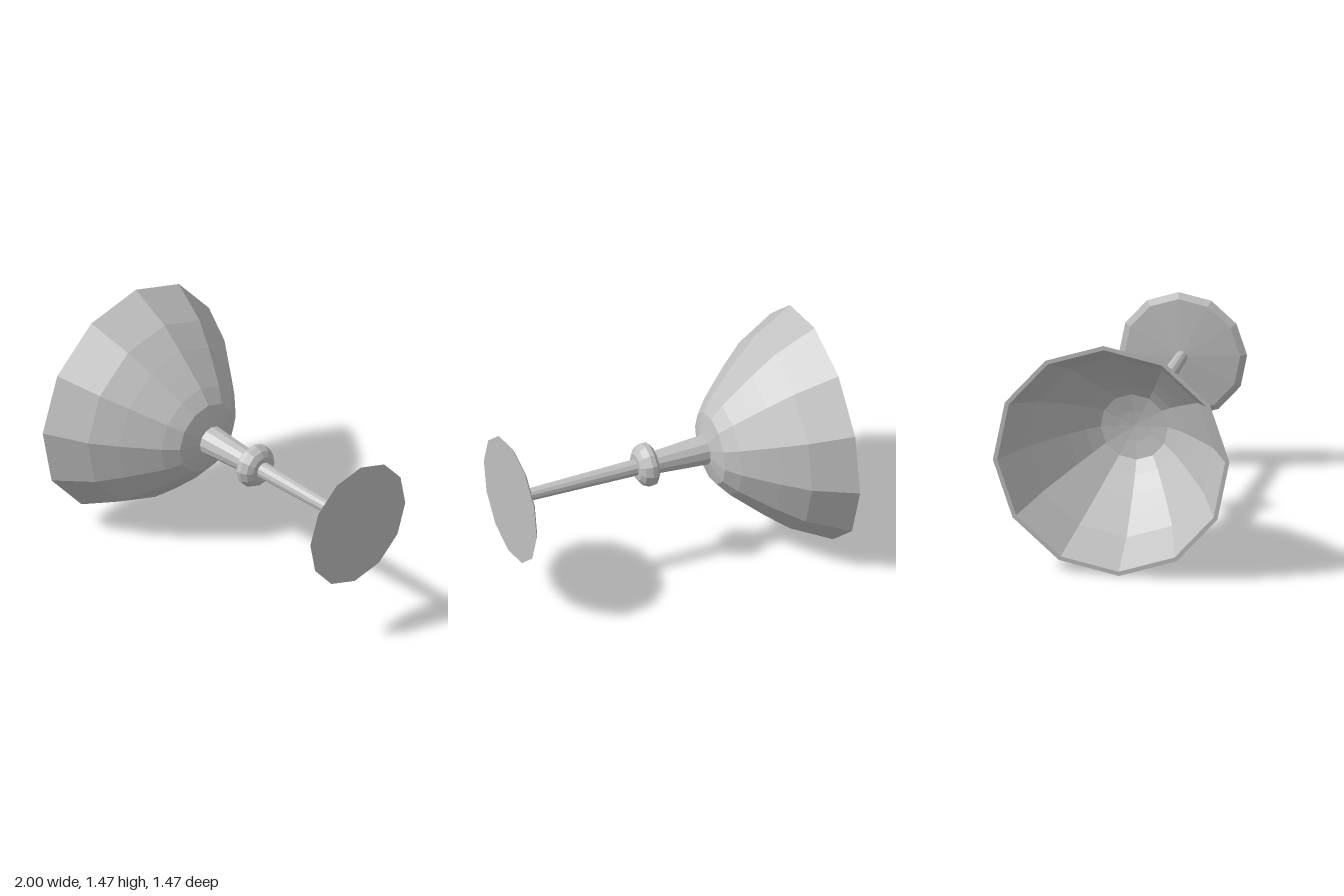
import * as THREE from 'three';

// A faceted goblet lying on its side, bowl towards -x, foot towards +x.
export function createModel() {
  const model = new THREE.Group();
  const SIDES = 12, PHASE = -0.065, AXIS_HEIGHT = 0.737;
  const silver = new THREE.MeshStandardMaterial({ color: 0xc0c0c0, flatShading: true });
  silver.name = 'silver grey';

  // Each profile is a list of [position along the axis, radius].
  function turned(name, profile) {
    const points = profile.map(([along, radius]) => new THREE.Vector2(radius, along));
    const geometry = new THREE.LatheGeometry(points, SIDES, PHASE);
    geometry.rotateZ(-Math.PI / 2);
    const mesh = new THREE.Mesh(geometry, silver);
    mesh.name = name;
    mesh.position.y = AXIS_HEIGHT;
    model.add(mesh);
  }

  // Hollow bowl: inside wall out to the rim, then back along the outside
  turned('bowl', [
    [-0.33, 0], [-0.34, 0.1], [-0.36, 0.21], [-0.42, 0.29], [-0.51, 0.38],
    [-0.6, 0.46], [-0.74, 0.58], [-1, 0.712],
    [-1, 0.739], [-0.74, 0.607], [-0.593, 0.488], [-0.5, 0.405],
    [-0.4, 0.314], [-0.327, 0.228], [-0.29, 0.094],
  ]);

  // Tapered stem on both sides of the knop
  turned('upperStem', [[-0.29, 0.094], [0.05, 0.07]]);
  turned('knop', [
    [0.05, 0.07], [0.055, 0.115], [0.075, 0.136], [0.105, 0.137],
    [0.145, 0.118], [0.168, 0.085], [0.17, 0.052],
  ]);
  turned('lowerStem', [[0.17, 0.052], [0.955, 0.038]]);

  // Shallow foot with a flat underside
  turned('foot', [[0.955, 0.038], [0.98, 0.362], [1, 0.401], [1, 0]]);

  return model;
}
